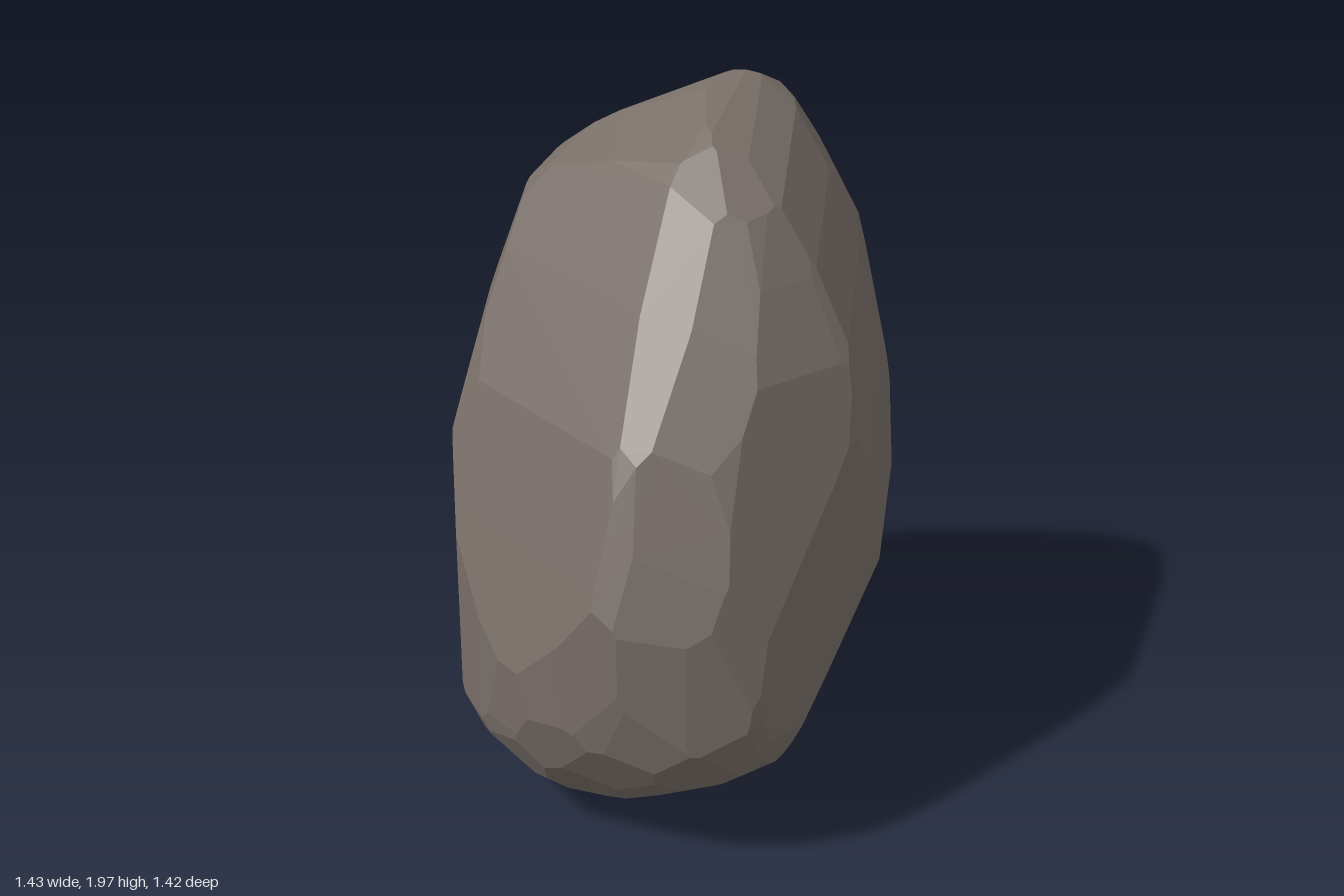
import * as THREE from 'three';
import { ConvexGeometry } from 'three/addons/geometries/ConvexGeometry.js';

const V = (x, y, z) => new THREE.Vector3(x, y, z);

// A slightly rounded outline about the middle of the boulder, spanned by axes
// a and b: every step along it becomes a cutting plane.
function outlinePlanes(a, b, knots) {
  const curve = new THREE.CatmullRomCurve3(knots.map(([u, v]) => V(u, v, 0)), true, 'catmullrom', 0.2);
  const pts = curve.getPoints(knots.length * 2);
  return pts.slice(1).map((p, i) => {
    const n = V(p.y - pts[i].y, pts[i].x - p.x, 0).normalize();
    if (n.dot(p) < 0) n.negate();
    const d = Math.max(...pts.map(q => n.dot(q)));
    return { n: a.clone().multiplyScalar(n.x).addScaledVector(b, n.y), d };
  });
}

// The same for an outline seen at a turn about y and a raised angle.
function turnedPlanes(turn, knots) {
  const e = new THREE.Euler(-0.36, turn, 0, 'YXZ');
  return outlinePlanes(V(1, 0, 0).applyEuler(e), V(0, 1, 0).applyEuler(e), knots);
}

// Corners of the solid enclosed by a set of planes.
function corners(planes) {
  const found = new Map(), jk = V(), p = V(), t = V();
  for (let j = 0; j < planes.length; j++) for (let k = j + 1; k < planes.length; k++) {
    jk.crossVectors(planes[j].n, planes[k].n);
    if (jk.lengthSq() < 1e-6) continue;
    for (let i = 0; i < j; i++) {
      const det = planes[i].n.dot(jk);
      if (Math.abs(det) < 1e-4) continue;
      p.copy(jk).multiplyScalar(planes[i].d);
      p.addScaledVector(t.crossVectors(planes[k].n, planes[i].n), planes[j].d);
      p.addScaledVector(t.crossVectors(planes[i].n, planes[j].n), planes[k].d);
      p.divideScalar(det);
      if (planes.every(({ n, d }) => n.dot(p) < d + 1e-5)) {
        const key = p.toArray().map(c => Math.round(c / 0.015)).join();
        if (!found.has(key)) found.set(key, p.clone());
      }
    }
  }
  return [...found.values()];
}

export function createModel() {
  const X = V(1, 0, 0), Y = V(0, 1, 0), Z = V(0, 0, 1);

  // Outlines across the width, the depth and the plan.
  const width = outlinePlanes(X, Y, [[-.08, 1], [.02, .99], [.3, .76], [.52, .36], [.71, -.32], [.68, -.64],
    [.6, -.73], [.1, -.97], [-.3, -.99], [-.6, -.81], [-.72, -.35], [-.67, .28], [-.53, .71]]);
  const depth = outlinePlanes(Z, Y, [[-.31, 1], [-.08, .95], [.13, .79], [.5, .2], [.71, -.44], [.66, -.84],
    [.43, -.97], [.02, -.99], [-.46, -.64], [-.67, -.24], [-.71, .33], [-.4, .95]]);
  const plan = outlinePlanes(X, Z, [[-.72, -.1], [-.52, -.52], [-.17, -.72], [.03, -.73], [.43, -.45],
    [.5, -.34], [.71, .3], [.5, .6], [.16, .72], [-.2, .64], [-.57, .38]]);

  // Outlines across the diagonals.
  const frontDiagonal = turnedPlanes(Math.PI / 4, [[.13, 1.04], [.23, 1.01], [.45, .64], [.62, -.16],
    [.49, -.79], [.4, -.88], [-.15, -1.04], [-.55, -.86], [-.67, -.48], [-.65, .1], [-.43, .78]]);
  const backDiagonal = turnedPlanes(-Math.PI * 3 / 4, [[-.07, .85], [.45, .59], [.67, -.04], [.7, -.43],
    [.58, -.83], [.28, -.95], [-.22, -.75], [-.58, -.28], [-.47, .45], [-.28, .75]]);
  const crossDiagonal = turnedPlanes(-Math.PI / 4, [[-.16, .98], [-.3, .985], [-.6, .61], [-.74, .02],
    [-.65, -.6], [-.4, -.93], [.07, -1.06], [.53, -.91], [.74, -.61], [.79, -.28], [.62, .22], [.24, .75]]);

  // Broad fracture faces: lower back and upper back.
  const fractures = [
    { n: V(.525, -.54, -.656).normalize(), d: .615 },
    { n: V(-.71, .55, -.44).normalize(), d: .745 },
  ];
  const planes = [width, depth, plan, frontDiagonal, backDiagonal, crossDiagonal, fractures].flat();

  // Worn corners: shave directions lying far from every existing face.
  const rough = corners(planes), worn = [], count = 150;
  for (let i = 0; i < count; i++) {
    const n = V().setFromSphericalCoords(1, Math.acos(1 - (2 * i + 1) / count), i * 2.4);
    const near = Math.max(...planes.map(p => p.n.dot(n)));
    if (near > 0.988) continue;
    const reach = Math.max(...rough.map(p => p.dot(n)));
    worn.push({ n, d: reach * (1 + 2 * near) / 3 });
  }

  // Set the boulder centred on the ground.
  const geometry = new ConvexGeometry(corners([...planes, ...worn])).center();
  geometry.translate(0, -geometry.boundingBox.min.y, 0);

  const boulder = new THREE.Mesh(geometry,
    new THREE.MeshStandardMaterial({ color: 0x786e68, flatShading: true }));
  boulder.name = 'boulder';
  const group = new THREE.Group();
  group.name = 'rock';
  group.add(boulder);
  return group;
}
